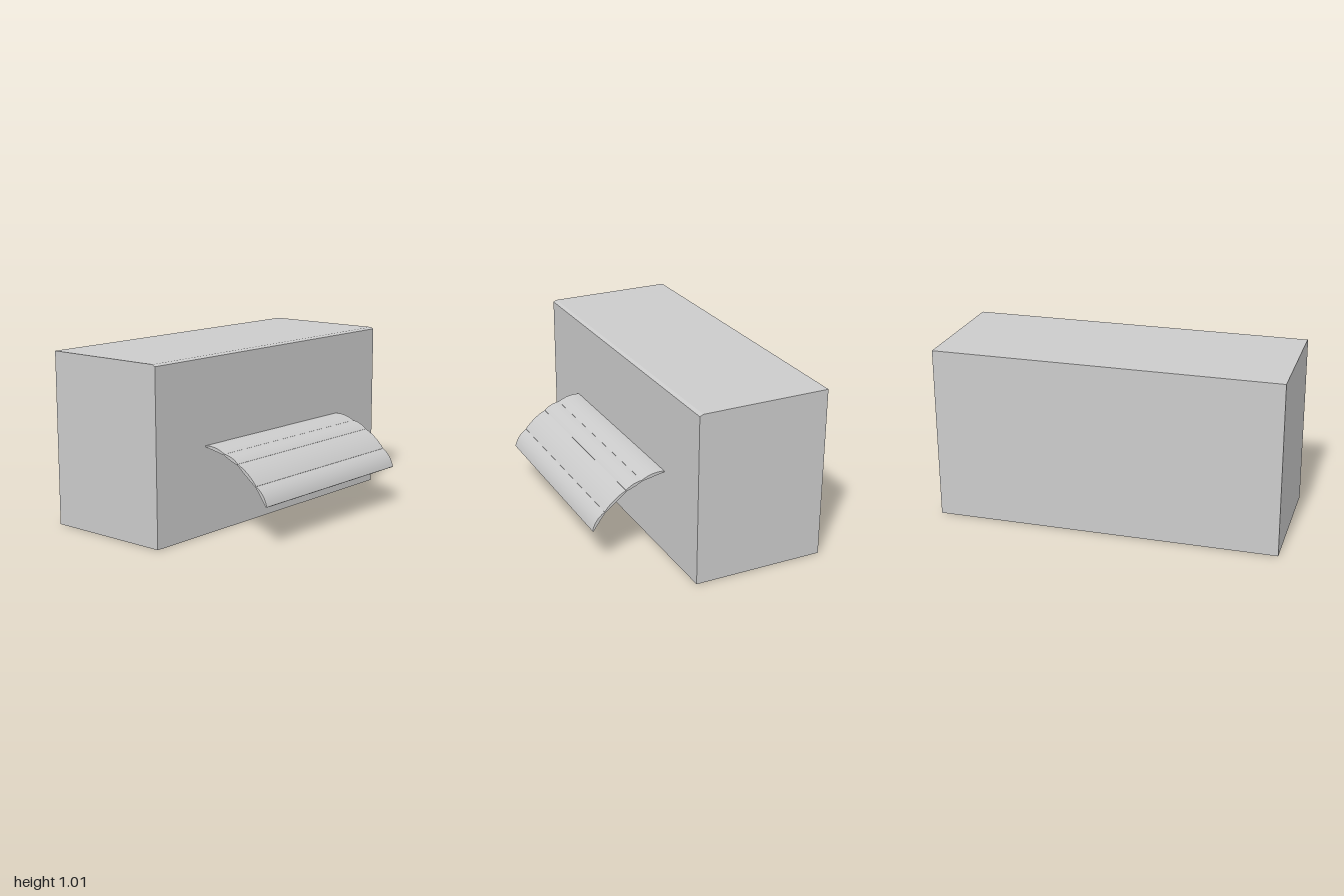
import * as THREE from 'three';
import { toCreasedNormals } from 'three/addons/utils/BufferGeometryUtils.js';

const material = new THREE.MeshStandardMaterial({ color: 0xcccccc });

// Extrude a side profile of [z, y] points from x0 to x1
function sideExtrusion(name, profile, x0, x1) {
  const shape = new THREE.Shape(profile.map(([z, y]) => new THREE.Vector2(z, y)));
  const geometry = new THREE.ExtrudeGeometry(shape, { depth: x1 - x0, bevelEnabled: false });
  geometry.rotateY(-Math.PI / 2).translate(x1, 0, 0);
  const mesh = new THREE.Mesh(toCreasedNormals(geometry, 0.4), material);
  mesh.name = name;
  return mesh;
}

// Thin slat from a to b: bowed outer face, flatter inner face, pinched ends
function slatProfile(a, b, bow) {
  const dz = b[0] - a[0], dy = b[1] - a[1], length = Math.hypot(dz, dy);
  const normal = [-dy / length, dz / length];
  const at = (t, offset) => [a[0] + dz * t + normal[0] * offset, a[1] + dy * t + normal[1] * offset];
  const outer = [], inner = [], steps = 8;
  for (let i = 0; i <= steps; i++) {
    const t = i / steps, curve = 4 * t * (1 - t);
    outer.push(at(t, 0.004 + bow * curve));
    inner.push(at(t, -0.003 + (bow - 0.012) * curve));
  }
  return outer.concat(inner.reverse());
}

export function createModel() {
  const model = new THREE.Group();
  model.name = 'boxWithCurvedAwning';

  // Large block with a small chamfer along the front top edge
  model.add(sideExtrusion('block',
    [[-0.61, 0], [0.17, 0], [0.17, 1.0], [0.15, 1.01], [-0.61, 1.01]], -1, 1));

  // Curved awning of overlapping slats, stepping down towards the front
  const awning = new THREE.Group();
  awning.name = 'awning';
  const joints = [[0.17, 0.506], [0.308, 0.478], [0.403, 0.437], [0.532, 0.334], [0.606, 0.232]];
  const bows = [0.012, 0.009, 0.01, 0.013];
  bows.forEach((bow, i) => {
    const profile = slatProfile(joints[i], joints[i + 1], bow);
    awning.add(sideExtrusion('awningSlat' + (i + 1), profile, -0.61, 0.6));
  });
  model.add(awning);

  return model;
}
